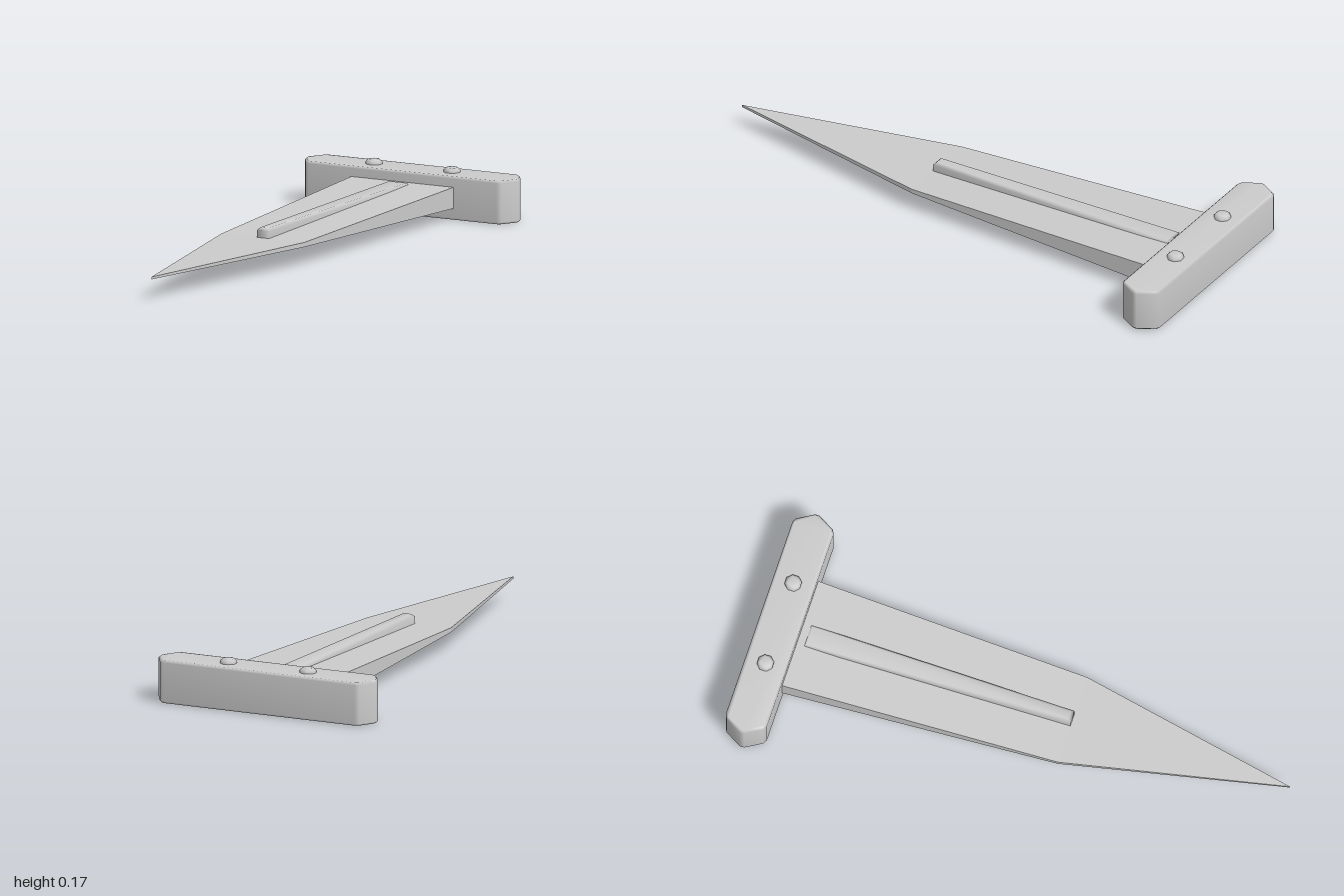
import * as THREE from 'three';
import { mergeVertices } from 'three/addons/utils/BufferGeometryUtils.js';

// Bevelled slab from an [x, z] outline, extruded upwards, smooth across its edges
function slab(outline, y0, y1, bevel) {
  const shape = new THREE.Shape(outline.map(([x, z]) => new THREE.Vector2(x, -z)));
  let g = new THREE.ExtrudeGeometry(shape, {
    depth: y1 - y0 - 2 * bevel, bevelEnabled: true, bevelThickness: bevel,
    bevelSize: bevel, bevelOffset: -bevel, bevelSegments: 1, steps: 1,
  });
  g.rotateX(-Math.PI / 2);
  g.translate(0, y0 + bevel, 0);
  g.deleteAttribute('normal');
  g.deleteAttribute('uv');
  g.clearGroups();
  g = mergeVertices(g, 1e-4);
  g.computeVertexNormals();
  return g;
}

// Flat-faced blade: outline rows of [x, z, top y, bottom y]
function bladeGeometry(rows) {
  const n = rows.length, pos = [], index = [];
  for (const [x, z, top, bottom] of rows) pos.push(x, top, z, x, bottom, z);
  for (let i = 0; i < n; i++) {
    const a = 2 * i, b = 2 * ((i + 1) % n);
    index.push(a, a + 1, b + 1, a, b + 1, b);
  }
  for (const [a, b, c] of [[0, 1, 3], [0, 3, 4], [1, 2, 3]]) {
    index.push(2 * a, 2 * b, 2 * c, 2 * a + 1, 2 * c + 1, 2 * b + 1);
  }
  let g = new THREE.BufferGeometry();
  g.setAttribute('position', new THREE.Float32BufferAttribute(pos, 3));
  g.setIndex(index);
  g = g.toNonIndexed();
  g.computeVertexNormals();
  return g;
}

export function createModel() {
  const model = new THREE.Group();
  const steel = new THREE.MeshStandardMaterial({ color: 0xcccccc });
  steel.name = 'steel';
  const add = (name, geometry) => {
    const mesh = new THREE.Mesh(geometry, steel);
    mesh.name = name;
    model.add(mesh);
    return mesh;
  };

  // Tapering blade with a sharp point
  add('blade', bladeGeometry([
    [-0.21, -0.86, 0.12, 0.042],
    [-0.17, 0.18, 0.089, 0.072],
    [0, 1, 0.086, 0.077],
    [0.17, 0.18, 0.089, 0.072],
    [0.21, -0.86, 0.12, 0.042],
  ]));

  // Central rib running through both faces of the blade
  add('rib', slab([[-0.025, 0.18], [0.025, 0.18], [0.045, -0.82], [-0.045, -0.82]], 0.036, 0.125, 0.01));

  // Crossguard with pointed ends, corners slightly cut
  add('crossguard', slab([
    [-0.385, -0.845], [0.385, -0.845], [0.401, -0.853], [0.437, -0.914],
    [0.437, -0.931], [0.401, -0.992], [0.385, -1], [-0.385, -1],
    [-0.401, -0.992], [-0.437, -0.931], [-0.437, -0.914], [-0.401, -0.853],
  ], 0, 0.158, 0.008));

  // Rivets on top of the crossguard
  for (const side of [-1, 1]) {
    const ring = [];
    for (let i = 0; i < 8; i++) {
      const a = -(i + 0.5) * Math.PI / 4;
      ring.push([side * 0.16 + 0.031 * Math.cos(a), -0.924 + 0.031 * Math.sin(a)]);
    }
    add(side > 0 ? 'leftRivet' : 'rightRivet', slab(ring, 0.14, 0.175, 0.009));
  }
  return model;
}
